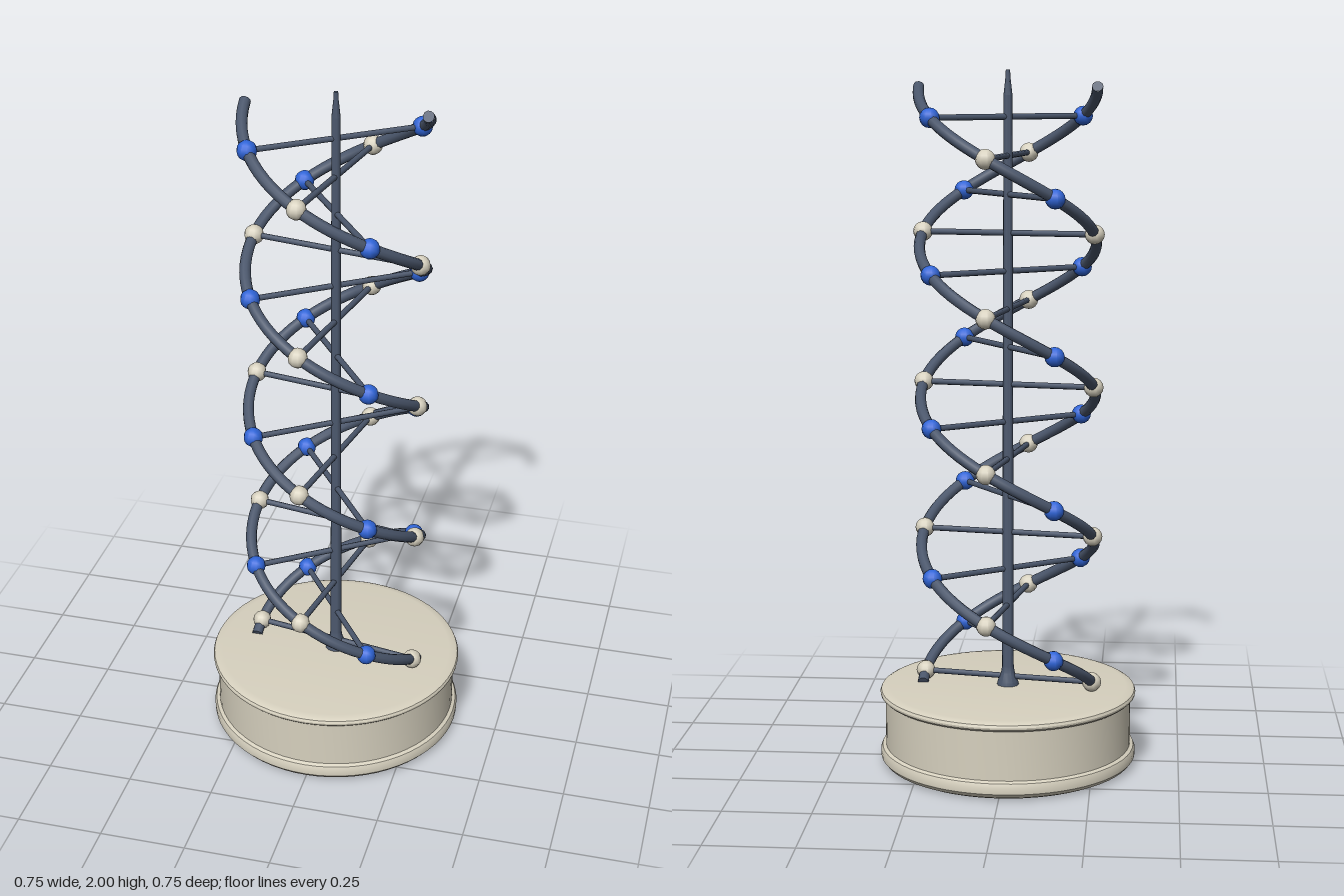
import * as THREE from 'three';
import { toCreasedNormals } from 'three/addons/utils/BufferGeometryUtils.js';

const RADIUS = 0.25, Y0 = 0.226, Y1 = 1.954, TURNS = 2;
const STRAND_R = 0.016, RUNGS = 16, RUNG_Y = 0.25, RUNG_STEP = 0.108;

const paint = (name, color) => {
  const m = new THREE.MeshStandardMaterial({ color });
  m.name = name;
  return m;
};

const helixAngle = (y) => ((y - Y0) / (Y1 - Y0)) * TURNS * Math.PI * 2;

// Point on a strand at height y; phase is 0 or PI
const helixPoint = (y, phase) => {
  const a = helixAngle(y) + phase;
  return new THREE.Vector3(Math.cos(a) * RADIUS, y, Math.sin(a) * RADIUS);
};

class Helix extends THREE.Curve {
  constructor(phase) {
    super();
    this.phase = phase;
  }
  getPoint(t, target = new THREE.Vector3()) {
    return target.copy(helixPoint(Y0 + (Y1 - Y0) * t, this.phase));
  }
}

const lathe = (pairs, segments) =>
  toCreasedNormals(
    new THREE.LatheGeometry(pairs.map(([r, y]) => new THREE.Vector2(r, y)), segments),
    Math.PI / 6
  );

export function createModel() {
  const model = new THREE.Group();
  model.name = 'doubleHelixSculpture';
  const slate = paint('slate', 0x4a566b);
  const cream = paint('cream', 0xd6d0be);
  const blue = paint('blue', 0x2f64d6);

  const add = (name, geometry, material, parent = model) => {
    const mesh = new THREE.Mesh(geometry, material);
    mesh.name = name;
    parent.add(mesh);
    return mesh;
  };

  // Round plinth with a lip at the top and a foot at the bottom
  add('base', lathe([
    [0, 0], [0.345, 0], [0.362, 0.008], [0.372, 0.02], [0.373, 0.038],
    [0.368, 0.05], [0.358, 0.055], [0.358, 0.198], [0.366, 0.2], [0.372, 0.206],
    [0.373, 0.212], [0.37, 0.219], [0.362, 0.223], [0.345, 0.225], [0, 0.225],
  ], 64), cream);

  // Central rod with a flared collar and a narrow tip
  add('centralRod', lathe([
    [0, 0.22], [0.033, 0.22], [0.03, 0.235], [0.02, 0.262], [0.017, 0.28],
    [0.0125, 1.93], [0.007, 1.98], [0.006, 2], [0, 2],
  ], 12), slate);

  // Two opposite strands with closed ends
  [0, Math.PI].forEach((phase, i) => {
    const strand = new THREE.Group();
    strand.name = i ? 'rightStrand' : 'leftStrand';
    const curve = new Helix(phase);
    add('strandTube', new THREE.TubeGeometry(curve, 128, STRAND_R, 10), slate, strand);
    for (const t of [0, 1]) {
      const cap = add('strandEnd', new THREE.CircleGeometry(STRAND_R, 10), slate, strand);
      const p = curve.getPoint(t);
      const outward = curve.getTangent(t).multiplyScalar(t ? 1 : -1);
      cap.position.copy(p);
      cap.lookAt(p.clone().add(outward));
    }
    model.add(strand);
  });

  // Rungs through the rod, with beads alternating in colour
  const rungGeometry = new THREE.CylinderGeometry(0.0085, 0.0085, RADIUS * 2, 8).rotateZ(Math.PI / 2);
  const beadGeometry = toCreasedNormals(new THREE.SphereGeometry(0.028, 10, 8), Math.PI / 4);
  for (let i = 0; i < RUNGS; i++) {
    const y = RUNG_Y + i * RUNG_STEP;
    const step = new THREE.Group();
    step.name = 'rungWithBeads';
    const rung = add('rung', rungGeometry, slate, step);
    rung.position.y = y;
    rung.rotation.y = -helixAngle(y);
    for (const phase of [0, Math.PI]) {
      add('bead', beadGeometry, i % 2 ? blue : cream, step).position.copy(helixPoint(y, phase));
    }
    model.add(step);
  }
  return model;
}
